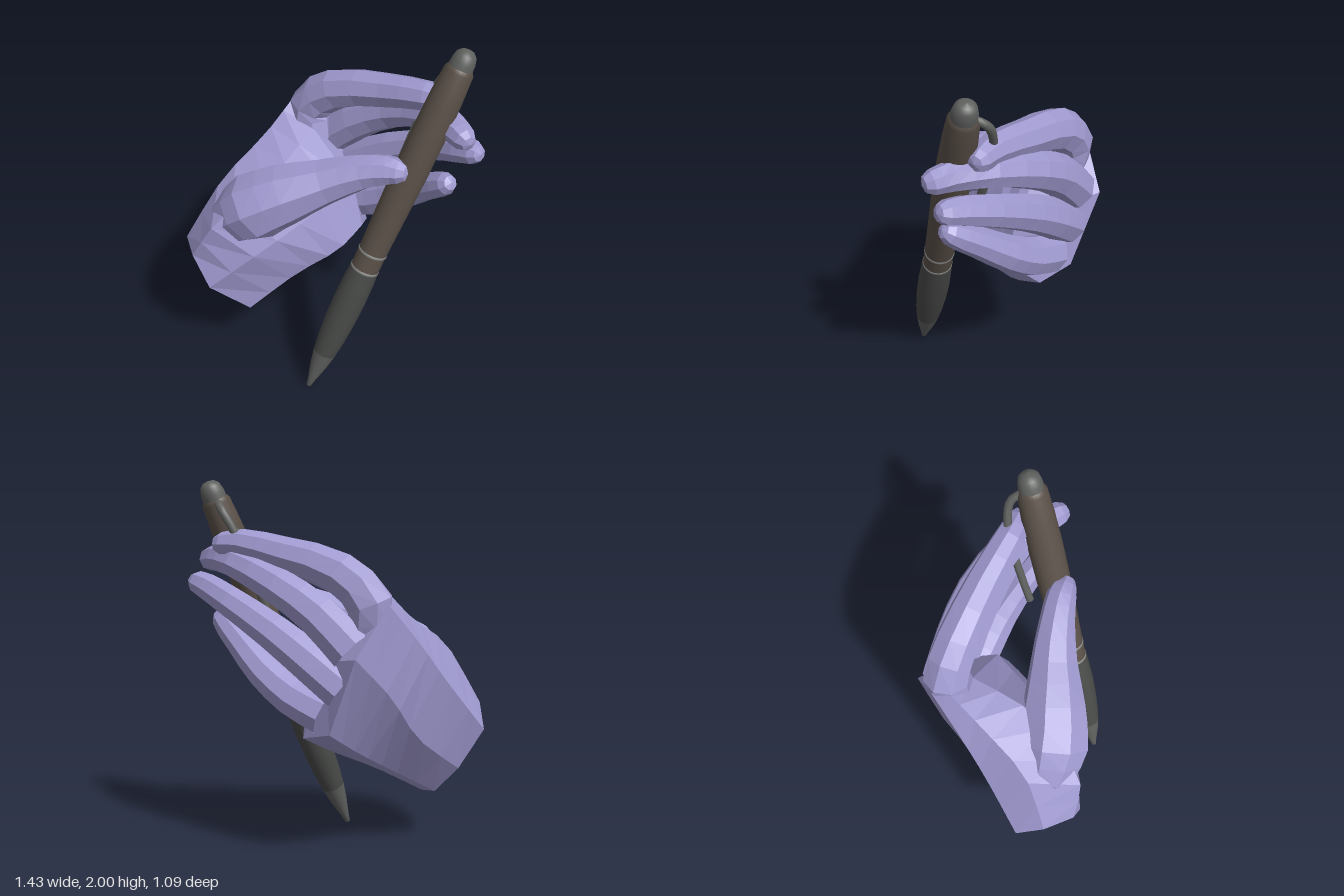
import * as THREE from 'three';

const V = (p) => new THREE.Vector3(p[0], p[1], p[2]);

// Skin a list of equal-length point rings and close the far end at a point
function loft(rings, tip) {
  const n = rings[0].length;
  const pos = [];
  const index = [];
  rings.forEach((ring) => ring.forEach((p) => pos.push(p.x, p.y, p.z)));
  for (let i = 0; i < rings.length - 1; i++) {
    for (let j = 0; j < n; j++) {
      const a = i * n + j;
      const b = i * n + ((j + 1) % n);
      index.push(a, a + n, b, b, a + n, b + n);
    }
  }
  const last = (rings.length - 1) * n;
  pos.push(tip.x, tip.y, tip.z);
  for (let j = 0; j < n; j++) index.push(last + j, rings.length * n, last + ((j + 1) % n));
  const g = new THREE.BufferGeometry();
  g.setAttribute('position', new THREE.Float32BufferAttribute(pos, 3));
  g.setIndex(index);
  g.computeVertexNormals();
  return g;
}

// Tapered finger along [x, y, z, radius] points with a rounded tip
function fingerGeometry(points, sides = 8) {
  const curve = new THREE.CatmullRomCurve3(points.map(V));
  const steps = (points.length - 1) * 2;
  const section = (c, t, r) => {
    const side = new THREE.Vector3().crossVectors(t, new THREE.Vector3(0, 0, 1)).normalize();
    const up = new THREE.Vector3().crossVectors(side, t).normalize();
    return Array.from({ length: sides }, (_, j) => {
      const a = -(j / sides) * Math.PI * 2;
      return c.clone().addScaledVector(side, Math.cos(a) * r).addScaledVector(up, Math.sin(a) * r);
    });
  };
  const rings = [];
  for (let i = 0; i <= steps; i++) {
    const k = Math.min(Math.floor(i / 2), points.length - 2);
    const r = THREE.MathUtils.lerp(points[k][3], points[k + 1][3], i / 2 - k);
    rings.push(section(curve.getPoint(i / steps), curve.getTangent(i / steps), r));
  }
  const end = curve.getPoint(1);
  const dir = curve.getTangent(1);
  const r = points[points.length - 1][3];
  rings.push(section(end.clone().addScaledVector(dir, r * 0.6), dir, r * 0.65));
  return loft(rings, end.clone().addScaledVector(dir, r * 0.8));
}

function buildHand() {
  const hand = new THREE.Group();
  hand.name = 'hand';
  const skin = new THREE.MeshStandardMaterial({ color: 0xa09ad0, flatShading: true, side: THREE.DoubleSide });
  const add = (name, geometry) => {
    const mesh = new THREE.Mesh(geometry, skin);
    mesh.name = name;
    hand.add(mesh);
  };

  // Palm: sections from the open wrist to the knuckles
  const sections = [
    [[-0.64, 0.79, 0.44], [-0.72, 0.67, 0.31], [-0.6, 0.45, 0.25], [-0.46, 0.3, 0.25],
      [-0.37, 0.29, 0.27], [-0.28, 0.38, 0.34], [-0.4, 0.6, 0.53], [-0.5, 0.79, 0.54]],
    [[-0.52, 1.13, 0.24], [-0.61, 0.96, 0.06], [-0.49, 0.66, -0.03], [-0.32, 0.46, 0],
      [-0.21, 0.45, 0.03], [-0.11, 0.58, 0.12], [-0.18, 0.84, 0.33], [-0.36, 1.04, 0.48]],
    [[-0.46, 1.3, -0.06], [-0.54, 1.18, -0.13], [-0.46, 0.92, -0.29], [-0.27, 0.61, -0.28],
      [-0.07, 0.58, -0.21], [0.04, 0.71, -0.08], [-0.07, 0.96, 0.01], [-0.24, 1.23, 0.1]],
    [[-0.43, 1.45, -0.28], [-0.47, 1.39, -0.34], [-0.38, 1.14, -0.52], [-0.21, 0.74, -0.48],
      [-0.02, 0.69, -0.42], [0.07, 0.79, -0.25], [-0.01, 1.05, -0.26], [-0.27, 1.32, -0.23]],
  ];
  const rails = sections[0].map((_, j) => new THREE.CatmullRomCurve3(sections.map((s) => V(s[j]))));
  const rings = Array.from({ length: 8 }, (_, i) => rails.map((rail) => rail.getPoint(i / 7)));
  add('palm', loft(rings, V([-0.16, 1.1, -0.42])));

  // Thumb and fingers
  const digits = {
    thumb: [[-0.47, 0.86, 0.28, 0.04], [-0.39, 0.96, 0.3, 0.15], [-0.27, 1.07, 0.265, 0.19], [-0.12, 1.17, 0.17, 0.168],
      [0.05, 1.26, 0.06, 0.125], [0.22, 1.345, -0.03, 0.095], [0.34, 1.38, -0.08, 0.08], [0.4, 1.385, -0.095, 0.064]],
    indexFinger: [[-0.33, 1.22, -0.3, 0.12], [-0.355, 1.39, -0.325, 0.122], [-0.2, 1.535, -0.35, 0.112],
      [0.1, 1.62, -0.385, 0.095], [0.35, 1.67, -0.4, 0.08], [0.47, 1.67, -0.42, 0.062]],
    middleFinger: [[-0.3, 1.16, -0.405, 0.12], [-0.12, 1.33, -0.43, 0.112], [0.1, 1.465, -0.45, 0.1],
      [0.38, 1.57, -0.41, 0.085], [0.56, 1.59, -0.33, 0.075], [0.65, 1.58, -0.29, 0.062]],
    ringFinger: [[-0.25, 0.96, -0.405, 0.115], [-0.08, 1.09, -0.435, 0.11], [0.13, 1.23, -0.45, 0.1],
      [0.4, 1.37, -0.44, 0.085], [0.57, 1.435, -0.4, 0.075], [0.66, 1.46, -0.38, 0.063]],
    littleFinger: [[-0.14, 0.82, -0.39, 0.115], [0.05, 0.895, -0.395, 0.108], [0.23, 1.01, -0.39, 0.095],
      [0.4, 1.145, -0.355, 0.08], [0.5, 1.22, -0.325, 0.072], [0.56, 1.265, -0.305, 0.06]],
  };
  for (const [name, points] of Object.entries(digits)) add(name, fingerGeometry(points));
  return hand;
}

function buildPen() {
  const pen = new THREE.Group();
  pen.name = 'pen';
  const shaft = new THREE.Group();
  shaft.name = 'penShaft';
  const from = new THREE.Vector3(0.135, 0.003, 0.33);
  const axis = new THREE.Vector3(0.552, 1.99, -0.42).sub(from).normalize();
  shaft.position.copy(from);
  shaft.quaternion.setFromUnitVectors(new THREE.Vector3(0, 1, 0), axis);
  pen.add(shaft);

  // Turned parts as [radius, distance from the writing tip]
  const turned = [
    ['tip', 0x5e605e, [[0, 0], [0.014, 0.005], [0.022, 0.05], [0.048, 0.16], [0.065, 0.26]]],
    ['grip', 0x484a48, [[0.065, 0.26], [0.076, 0.36], [0.085, 0.5], [0.088, 0.65], [0.084, 0.78], [0.079, 0.85]]],
    ['lowerBand', 0x848684, [[0.076, 0.84], [0.081, 0.845], [0.081, 0.855], [0.076, 0.86]]],
    ['collar', 0x5a5048, [[0.078, 0.855], [0.078, 0.96]]],
    ['upperBand', 0x848684, [[0.076, 0.95], [0.081, 0.955], [0.081, 0.965], [0.076, 0.97]]],
    ['barrel', 0x5a5048, [[0.078, 0.96], [0.084, 1.2], [0.09, 1.45], [0.091, 1.7], [0.086, 1.9], [0.077, 2.05], [0.064, 2.07]]],
    ['button', 0x5e605e, [[0.064, 2.06], [0.063, 2.1], [0.053, 2.14], [0.032, 2.16], [0, 2.167]]],
  ];
  for (const [name, color, profile] of turned) {
    const geometry = new THREE.LatheGeometry(profile.map(([r, y]) => new THREE.Vector2(r, y)), 24);
    const mesh = new THREE.Mesh(geometry, new THREE.MeshStandardMaterial({ color, side: THREE.DoubleSide }));
    mesh.name = name;
    shaft.add(mesh);
  }

  // Clip arching off the barrel
  const path = new THREE.CatmullRomCurve3([[0.52, 1.9, -0.39], [0.45, 1.85, -0.45], [0.39, 1.75, -0.435],
    [0.34, 1.58, -0.375], [0.305, 1.38, -0.295], [0.285, 1.25, -0.24]].map(V));
  const clip = new THREE.Mesh(new THREE.TubeGeometry(path, 24, 0.022, 8),
    new THREE.MeshStandardMaterial({ color: 0x5e605e, side: THREE.DoubleSide }));
  clip.name = 'clip';
  pen.add(clip);
  return pen;
}

export function createModel() {
  const model = new THREE.Group();
  model.name = 'handHoldingPen';
  model.add(buildHand(), buildPen());
  return model;
}
